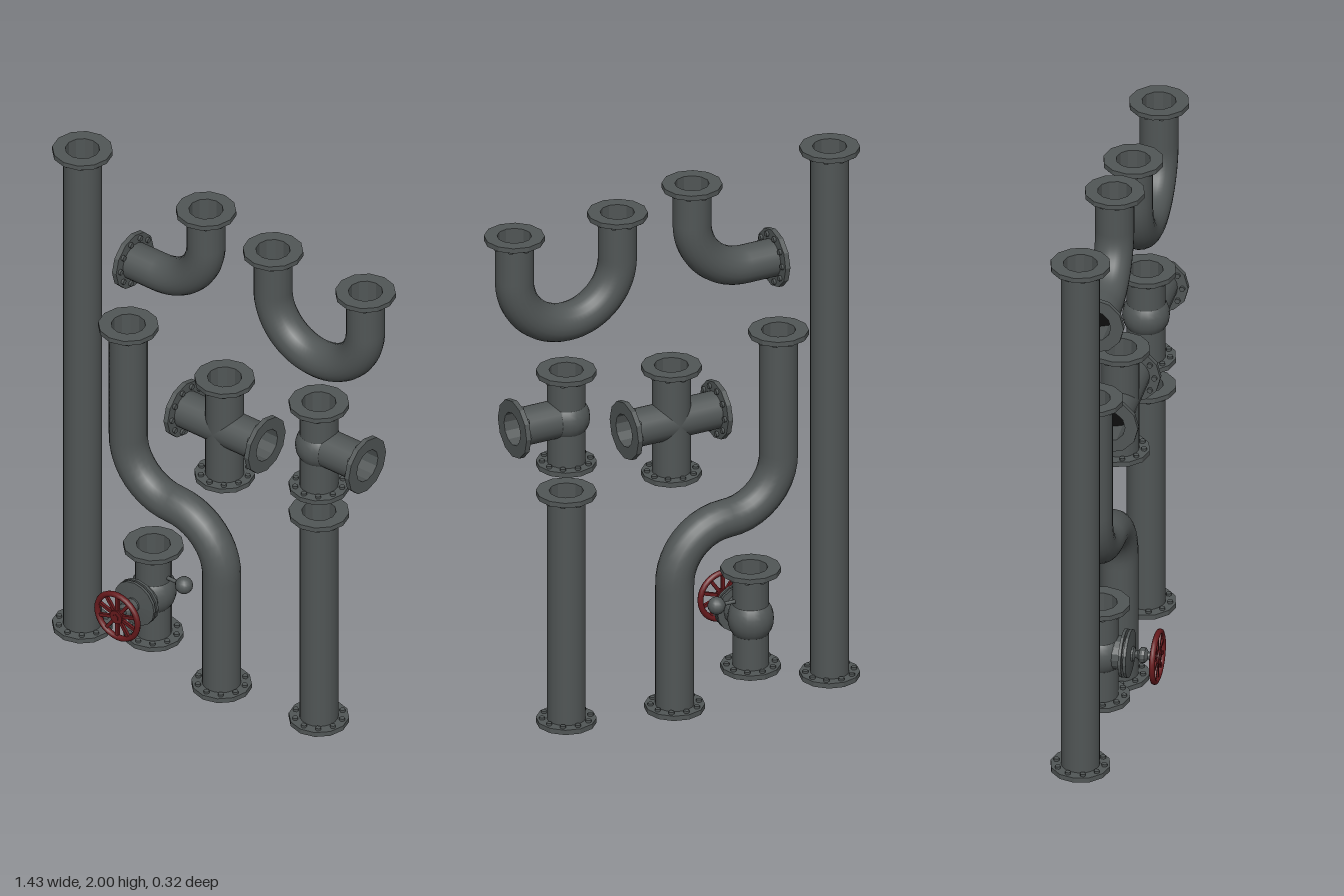
import * as THREE from 'three';

const iron = new THREE.MeshStandardMaterial({ color: 0x515656 });
iron.name = 'dark iron';
const bore = new THREE.MeshStandardMaterial({ color: 0x0c0c0c });
bore.name = 'black bore';
const red = new THREE.MeshStandardMaterial({ color: 0x681a1d });
red.name = 'dark red';

const Z = -0.055, R = 0.067, FLANGE_R = 0.104, BORE_R = 0.059, FLANGE_T = 0.018, DEPTH = 0.1;
const UP = new THREE.Vector3(0, 1, 0);
const V = (x, y) => new THREE.Vector3(x, y, 0);

function add(parent, name, geometry, material, x = 0, y = 0, z = 0) {
  const mesh = new THREE.Mesh(geometry, material);
  mesh.name = name;
  mesh.position.set(x, y, z);
  parent.add(mesh);
  return mesh;
}

function lathe(points, segments, flat) {
  let g = new THREE.LatheGeometry(points.map(p => new THREE.Vector2(...p)), segments);
  if (flat) {
    g = g.toNonIndexed();
    g.computeVertexNormals();
  }
  return g;
}

const flangeGeo = lathe([[R - 0.01, -FLANGE_T], [FLANGE_R, -FLANGE_T], [FLANGE_R, 0],
  [BORE_R, 0], [BORE_R, -DEPTH]], 12, true);
const boltGeo = new THREE.CylinderGeometry(0.01, 0.01, 0.01, 6);
const boreGeo = new THREE.CircleGeometry(BORE_R, 12).rotateX(-Math.PI / 2);

// Flange ring with recessed bore and a circle of bolts on its pipe side
function flange(parent, at, dir) {
  const g = new THREE.Group();
  g.name = 'flange';
  g.position.copy(at);
  g.quaternion.setFromUnitVectors(UP, dir);
  add(g, 'flangeRing', flangeGeo, iron);
  add(g, 'boreEnd', boreGeo, bore, 0, -DEPTH, 0);
  for (let i = 0; i < 10; i++) {
    const a = (i + 0.5) / 10 * Math.PI * 2;
    add(g, 'bolt', boltGeo, iron, 0.084 * Math.cos(a), -FLANGE_T - 0.004, 0.084 * Math.sin(a));
  }
  parent.add(g);
}

// Pipe through a list of corners, each rounded by a quarter bend
function pipe(parent, corners, bend = 0.2, radius = R, startFlange = true) {
  const pts = corners.map(c => V(...c));
  const path = new THREE.CurvePath();
  const line = (a, b) => { if (a.distanceTo(b) > 0.005) path.add(new THREE.LineCurve3(a, b)); };
  const k = 0.5523;
  let from = pts[0];
  for (let i = 1; i < pts.length - 1; i++) {
    const p = pts[i];
    const d1 = p.clone().sub(pts[i - 1]).normalize(), d2 = pts[i + 1].clone().sub(p).normalize();
    const a = p.clone().addScaledVector(d1, -bend), b = p.clone().addScaledVector(d2, bend);
    line(from, a);
    path.add(new THREE.CubicBezierCurve3(a, a.clone().addScaledVector(d1, bend * k),
      b.clone().addScaledVector(d2, -bend * k), b));
    from = b;
  }
  const n = pts.length, end = pts[n - 1];
  line(from, end);
  add(parent, 'pipe', new THREE.TubeGeometry(path, n > 2 ? 48 : 1, radius, 20), iron);
  if (startFlange) flange(parent, pts[0], pts[0].clone().sub(pts[1]).normalize());
  flange(parent, end, end.clone().sub(pts[n - 2]).normalize());
}

function piece(model, name) {
  const g = new THREE.Group();
  g.name = name;
  g.position.z = Z;
  model.add(g);
  return g;
}

function valve(model) {
  const g = piece(model, 'valve'), x = -0.307, y = 0.288;
  pipe(g, [[x, 0.098], [x, 0.48]], 0, 0.063);
  add(g, 'valveBody', new THREE.SphereGeometry(0.08, 20, 14), iron, x, y, 0).scale.y = 1.1;

  // Bonnet, stem and handwheel point forward
  const top = new THREE.Group();
  top.name = 'bonnetAssembly';
  top.position.set(x, y, 0);
  top.rotation.x = Math.PI / 2;
  g.add(top);
  add(top, 'bonnet', lathe([[0.06, 0], [0.06, 0.08], [0.085, 0.08], [0.085, 0.09], [0.065, 0.09],
    [0.065, 0.097], [0.085, 0.097], [0.085, 0.107], [0.03, 0.112], [0, 0.112]], 16, true), iron);
  add(top, 'stem', lathe([[0.026, 0.11], [0.026, 0.118], [0.013, 0.124], [0.014, 0.132], [0.026, 0.141],
    [0.028, 0.15], [0.026, 0.159], [0.014, 0.168], [0.013, 0.176], [0.022, 0.182], [0.022, 0.195]], 12, true), iron);
  const wheel = new THREE.Group();
  wheel.name = 'handwheel';
  wheel.position.y = 0.2;
  top.add(wheel);
  add(wheel, 'wheelRim', new THREE.TorusGeometry(0.087, 0.0105, 8, 28).rotateX(Math.PI / 2), red);
  add(wheel, 'wheelHub', new THREE.CylinderGeometry(0.026, 0.026, 0.02, 16), red);
  add(wheel, 'wheelNut', new THREE.CylinderGeometry(0.012, 0.012, 0.008, 6), red, 0, 0.009, 0);
  const spokeGeo = new THREE.BoxGeometry(0.066, 0.01, 0.012).translate(0.053, 0, 0);
  for (let i = 0; i < 10; i++) {
    add(wheel, 'spoke', spokeGeo, red).rotation.y = (i + 0.5) / 10 * Math.PI * 2;
  }

  // Side knob on a thin rod
  add(g, 'knobRod', new THREE.CylinderGeometry(0.007, 0.007, 0.1, 8).rotateZ(Math.PI / 2), iron, -0.235, 0.363, 0);
  add(g, 'knob', new THREE.SphereGeometry(0.031, 14, 10), iron, -0.175, 0.363, 0);
}

export function createModel() {
  const model = new THREE.Group();
  model.name = 'pipeSet';

  pipe(piece(model, 'longPipe'), [[-0.613, 0], [-0.613, 2]]);
  pipe(piece(model, 'shortPipe'), [[0.407, 0.055], [0.407, 0.93]]);
  pipe(piece(model, 'elbow'), [[-0.405, 1.63], [-0.08, 1.63], [-0.08, 1.98]]);
  pipe(piece(model, 'uBend'), [[0.209, 1.937], [0.209, 1.569], [0.608, 1.569], [0.608, 1.937]], 0.1995);
  pipe(piece(model, 'sBend'), [[-0.415, 1.352], [-0.415, 0.685], [-0.013, 0.685], [-0.013, 0.013]]);

  const cross = piece(model, 'crossFitting');
  pipe(cross, [[0, 0.897], [0, 1.312]]);
  pipe(cross, [[-0.183, 1.105], [0.183, 1.105]]);

  const tee = piece(model, 'teeFitting');
  pipe(tee, [[0.407, 1.026], [0.407, 1.386]]);
  pipe(tee, [[0.407, 1.209], [0.616, 1.209]], 0, R, false);
  add(tee, 'teeBody', new THREE.SphereGeometry(0.082, 20, 14), iron, 0.407, 1.209, 0);

  valve(model);
  return model;
}
